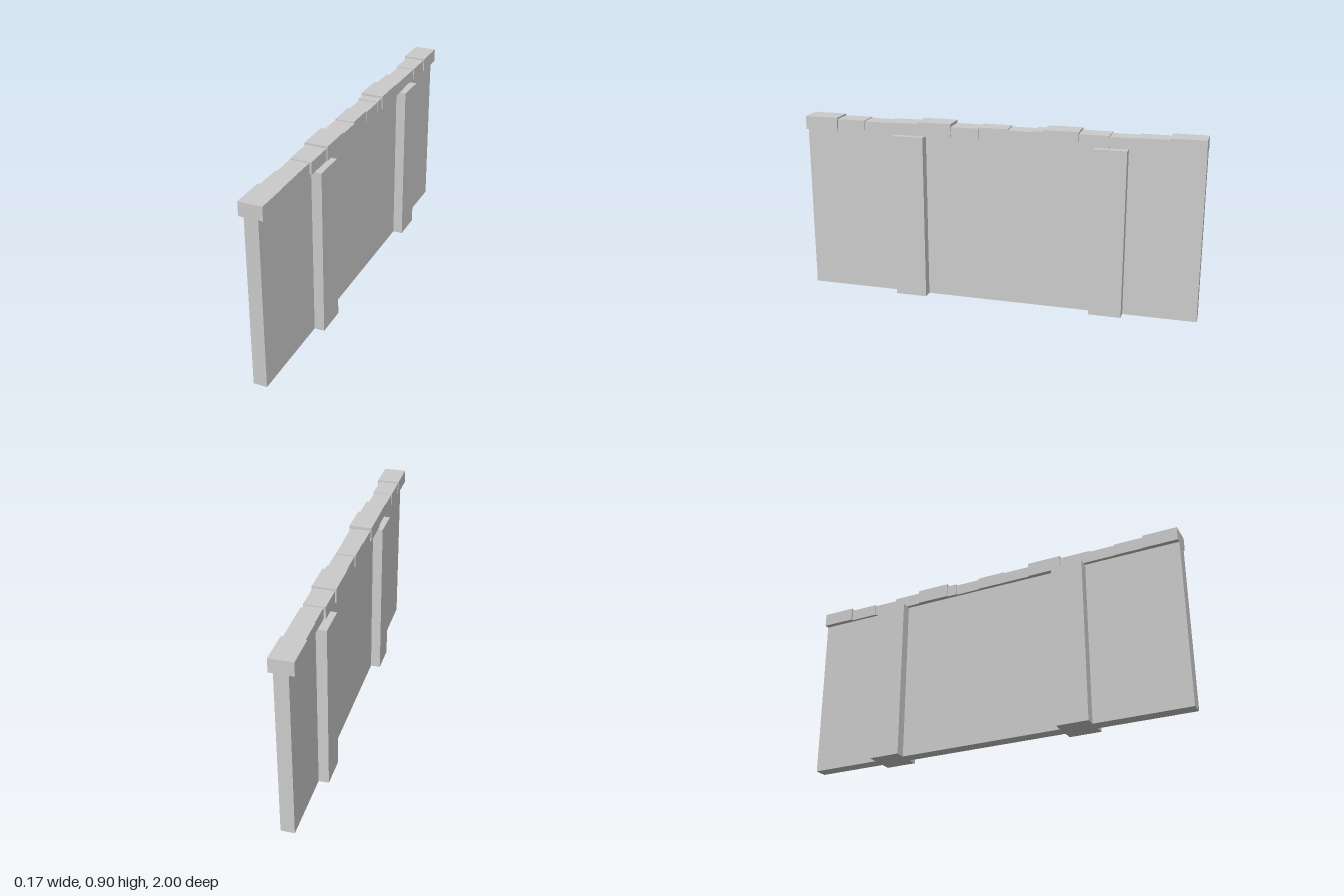
import * as THREE from 'three';

export function createModel() {
  const model = new THREE.Group();
  const material = new THREE.MeshStandardMaterial({ color: 0xcccccc, flatShading: true });

  // Box given by its limits on each axis
  const addBlock = (name, x0, x1, y0, y1, z0, z1) => {
    const mesh = new THREE.Mesh(new THREE.BoxGeometry(x1 - x0, y1 - y0, z1 - z0), material);
    mesh.name = name;
    mesh.position.set((x0 + x1) / 2, (y0 + y1) / 2, (z0 + z1) / 2);
    model.add(mesh);
  };

  const wallTop = 0.833;

  // Thin wall panel
  addBlock('wall', -0.033, 0.033, 0, wallTop, -1, 1);

  // Two pillars standing out on both faces of the wall
  for (const z of [-0.56, 0.445]) addBlock('pillar', -0.083, 0.083, 0, wallTop, z - 0.08, z + 0.08);

  // Row of uneven coping stones: [end z, left limit, right limit, top]
  const stones = [
    [-0.83, -0.058, 0.055, 0.9],
    [-0.685, -0.047, 0.05, 0.892],
    [-0.55, -0.042, 0.046, 0.888],
    [-0.405, -0.052, 0.05, 0.893],
    [-0.235, -0.058, 0.055, 0.903],
    [-0.185, -0.052, 0.05, 0.893],
    [-0.055, -0.047, 0.046, 0.888],
    [0.09, -0.052, 0.043, 0.893],
    [0.23, -0.052, 0.048, 0.888],
    [0.402, -0.058, 0.055, 0.903],
    [0.555, -0.052, 0.05, 0.893],
    [0.685, -0.052, 0.04, 0.888],
    [0.83, -0.055, 0.045, 0.892],
    [1, -0.058, 0.055, 0.9],
  ];
  let start = -1;
  for (const [end, x0, x1, top] of stones) {
    addBlock('copingStone', x0, x1, wallTop, top, start, end);
    start = end;
  }

  return model;
}
